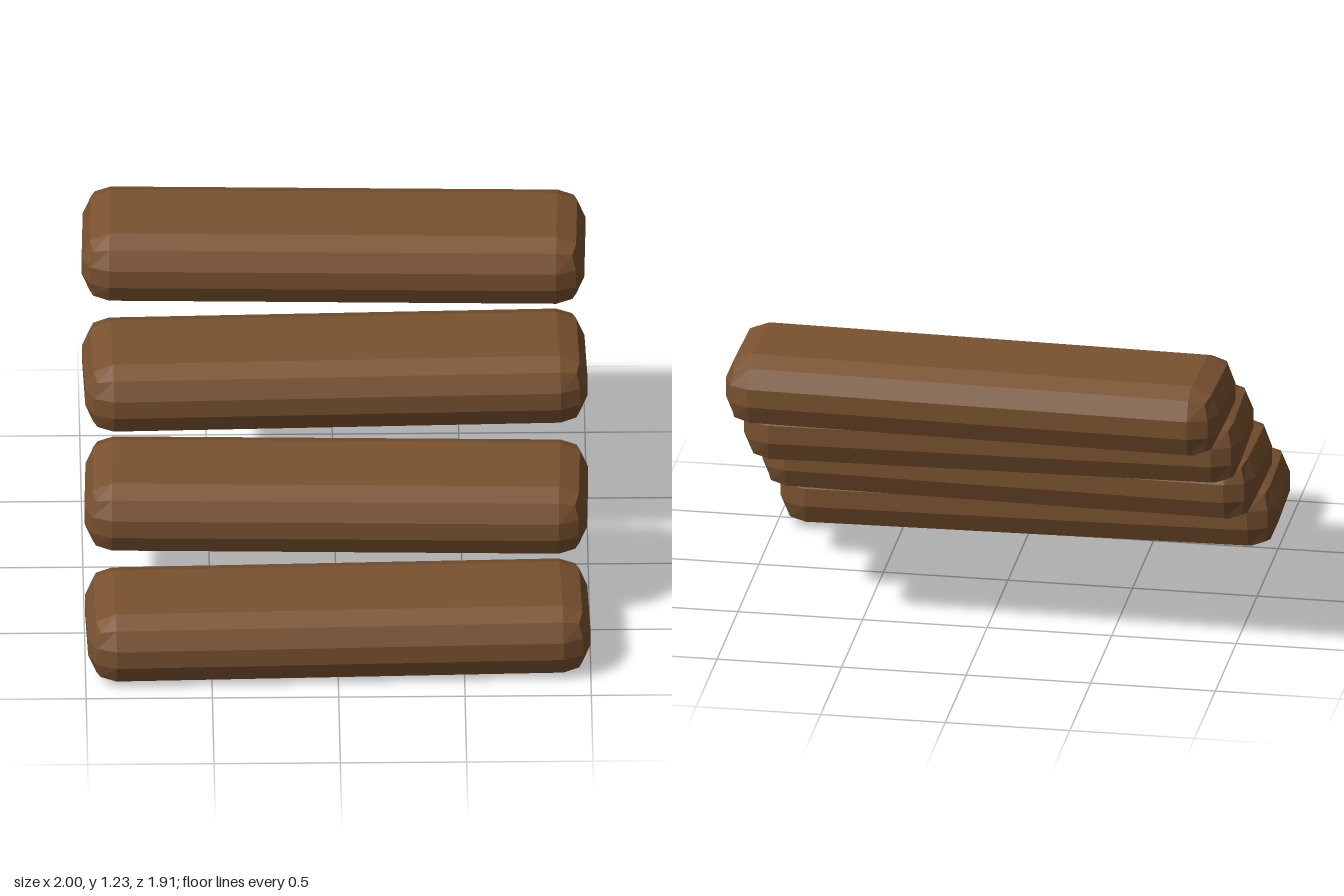
import * as THREE from 'three';
import { RoundedBoxGeometry } from 'three/addons/geometries/RoundedBoxGeometry.js';

export function createModel() {
  const model = new THREE.Group();
  model.name = 'logSteps';

  const wood = new THREE.MeshStandardMaterial({ color: 0x7a5230, flatShading: true });
  wood.name = 'brown wood';

  // One chunky plank with two-facet bevels, shared by every step
  const height = 0.296, bevel = 0.11;
  const plank = new RoundedBoxGeometry(1.99, height, 0.553, 1, bevel);

  // Four steps rising towards the back, each turned slightly the other way
  const count = 4, rise = 0.3125, run = 0.4375, yaw = 0.026;
  for (let i = 0; i < count; i++) {
    const step = new THREE.Mesh(plank, wood);
    step.name = `step${i + 1}`;
    step.position.set(0, height / 2 + i * rise, ((count - 1) / 2 - i) * run);
    step.rotation.y = i % 2 ? -yaw : yaw;
    model.add(step);
  }
  return model;
}
